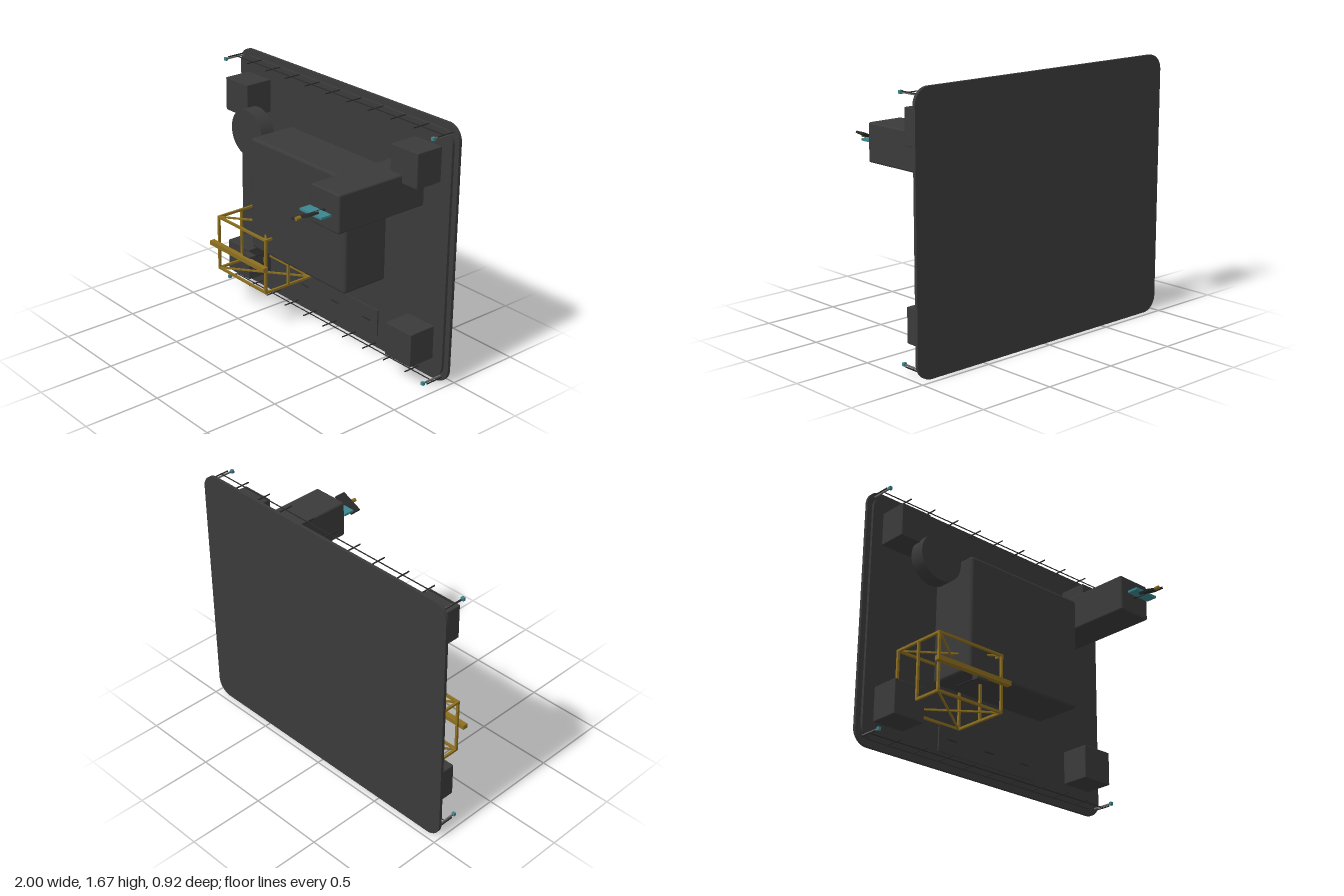
import * as THREE from 'three';
import { RoundedBoxGeometry } from 'three/addons/geometries/RoundedBoxGeometry.js';

const mat = (name, color) => {
  const m = new THREE.MeshStandardMaterial({ color });
  m.name = name;
  return m;
};

export function createModel() {
  const root = new THREE.Group();
  root.name = 'wallUnit';
  const charcoal = mat('charcoal', 0x3a3a3a);
  const black = mat('black', 0x2a2a2a);
  const brass = mat('brass', 0x8c6f1f);
  const teal = mat('teal', 0x3a868e);
  const steel = mat('steel', 0x6a6a6a);

  const add = (name, geo, material, x, y, z, parent = root) => {
    const m = new THREE.Mesh(geo, material);
    m.name = name;
    m.position.set(x, y, z);
    parent.add(m);
    return m;
  };
  // Box given by its lower and upper corners, optionally rounded
  const block = (name, lo, hi, material, r = 0, parent = root) => {
    const s = hi.map((v, i) => v - lo[i]);
    const c = hi.map((v, i) => (v + lo[i]) / 2);
    const geo = r ? new RoundedBoxGeometry(...s, 3, r) : new THREE.BoxGeometry(...s);
    return add(name, geo, material, ...c, parent);
  };
  // Square bar between two points
  const bar = (name, a, b, t, material, parent = root) => {
    const p = new THREE.Vector3(...a), q = new THREE.Vector3(...b);
    const mid = p.clone().add(q).multiplyScalar(0.5);
    const m = add(name, new THREE.BoxGeometry(t, t, p.distanceTo(q) + t), material, ...mid, parent);
    m.lookAt(q);
    return m;
  };
  // Upright slab with rounded corners
  const slab = (name, w, h, r, z0, z1) => {
    const s = new THREE.Shape(), x = w / 2, y = h / 2;
    s.moveTo(-x + r, -y);
    s.lineTo(x - r, -y);
    s.absarc(x - r, -y + r, r, -Math.PI / 2, 0);
    s.absarc(x - r, y - r, r, 0, Math.PI / 2);
    s.absarc(-x + r, y - r, r, Math.PI / 2, Math.PI);
    s.absarc(-x + r, -y + r, r, Math.PI, Math.PI * 1.5);
    const geo = new THREE.ExtrudeGeometry(s, { depth: z1 - z0, bevelEnabled: false, curveSegments: 10 });
    add(name, geo, charcoal, 0, 0.835, z0);
  };

  // Back plate and raised panel
  slab('backPlate', 2, 1.67, 0.1, -0.46, -0.44);
  slab('raisedPanel', 1.93, 1.59, 0.08, -0.44, -0.422);

  // Lower service panel with slots
  block('servicePanel', [-0.4, 0.1, -0.422], [0.4, 0.28, -0.412], charcoal);
  for (const x of [-0.3, 0, 0.3])
    block('panelSlot', [x - 0.035, 0.185, -0.412], [x + 0.035, 0.193, -0.408], black);

  // Main housing, arm, corner boxes and drum
  block('mainHousing', [-0.455, 0.515, -0.422], [0.45, 1.27, -0.085], charcoal, 0.02);
  block('armHousing', [0.52, 1.12, -0.415], [0.765, 1.36, 0.25], charcoal, 0.012);
  for (const x of [-0.78, 0.775])
    for (const y of [0.26, 1.415])
      block('cornerBox', [x - 0.111, y - 0.11, -0.422], [x + 0.111, y + 0.11, -0.23], charcoal, 0.005);
  const drum = new THREE.CylinderGeometry(0.155, 0.155, 0.1, 40).rotateX(Math.PI / 2);
  add('drum', drum, charcoal, -0.615, 1.23, -0.23);

  // Arm tip: spindle, vane, tilted blade, nozzle
  const tip = new THREE.Group();
  tip.name = 'armTip';
  tip.position.set(0.642, 1.238, 0);
  root.add(tip);
  add('spindle', new THREE.CylinderGeometry(0.008, 0.008, 0.2, 12).rotateX(Math.PI / 2), black, 0, 0, 0.34, tip);
  block('vane', [-0.092, -0.007, 0.28], [0.092, 0.007, 0.355], teal, 0, tip);
  const blade = block('blade', [-0.08, -0.007, 0.355], [0.08, 0.007, 0.43], black, 0, tip);
  blade.rotation.z = 0.43;
  add('nozzle', new THREE.CylinderGeometry(0.012, 0.012, 0.03, 12).rotateX(Math.PI / 2), brass, 0, 0, 0.445, tip);

  // Open cage: three frames joined by rails, crossed braces top and bottom
  const cage = new THREE.Group();
  cage.name = 'cage';
  root.add(cage);
  const xs = [-0.735, -0.247], ys = [0.277, 0.645], zs = [-0.035, -0.222, -0.412], t = 0.015;
  for (const x of xs) {
    for (const z of zs) bar('cagePost', [x, ys[0], z], [x, ys[1], z], t, brass, cage);
    for (const y of ys) bar('cageRail', [x, y, zs[0]], [x, y, zs[2]], t, brass, cage);
  }
  for (const y of ys) {
    for (const z of [zs[0], zs[2]]) bar('cageCrossbar', [xs[0], y, z], [xs[1], y, z], t, brass, cage);
    bar('cageBrace', [xs[0], y, zs[0]], [xs[1], y, zs[2]], 0.011, brass, cage);
    bar('cageBrace', [xs[1], y, zs[0]], [xs[0], y, zs[2]], 0.011, brass, cage);
  }

  // Front beam with its clamp and rod
  block('frontBeam', [-0.775, 0.445, -0.022], [-0.21, 0.475, 0.013], brass);
  block('beamClamp', [-0.455, 0.43, -0.058], [-0.375, 0.49, -0.012], charcoal);
  bar('clampRod', [-0.415, 0.46, -0.245], [-0.415, 0.46, -0.03], 0.007, black);

  // Edge rails with pegs, and tipped pins at the corners
  for (const y of [0.045, 1.63]) {
    bar('edgeRail', [-0.95, y, -0.357], [0.95, y, -0.357], 0.005, black);
    for (let i = -5; i <= 5; i++)
      bar('railPeg', [i * 0.192, y, -0.425], [i * 0.192, y, -0.308], 0.006, black);
  }
  for (const x of [-0.953, 0.95])
    for (const y of [0.053, 1.622]) {
      bar('cornerPin', [x, y, -0.425], [x, y, -0.295], 0.009, steel);
      block('pinTip', [x - 0.01, y - 0.01, -0.29], [x + 0.01, y + 0.01, -0.272], teal);
    }

  return root;
}
